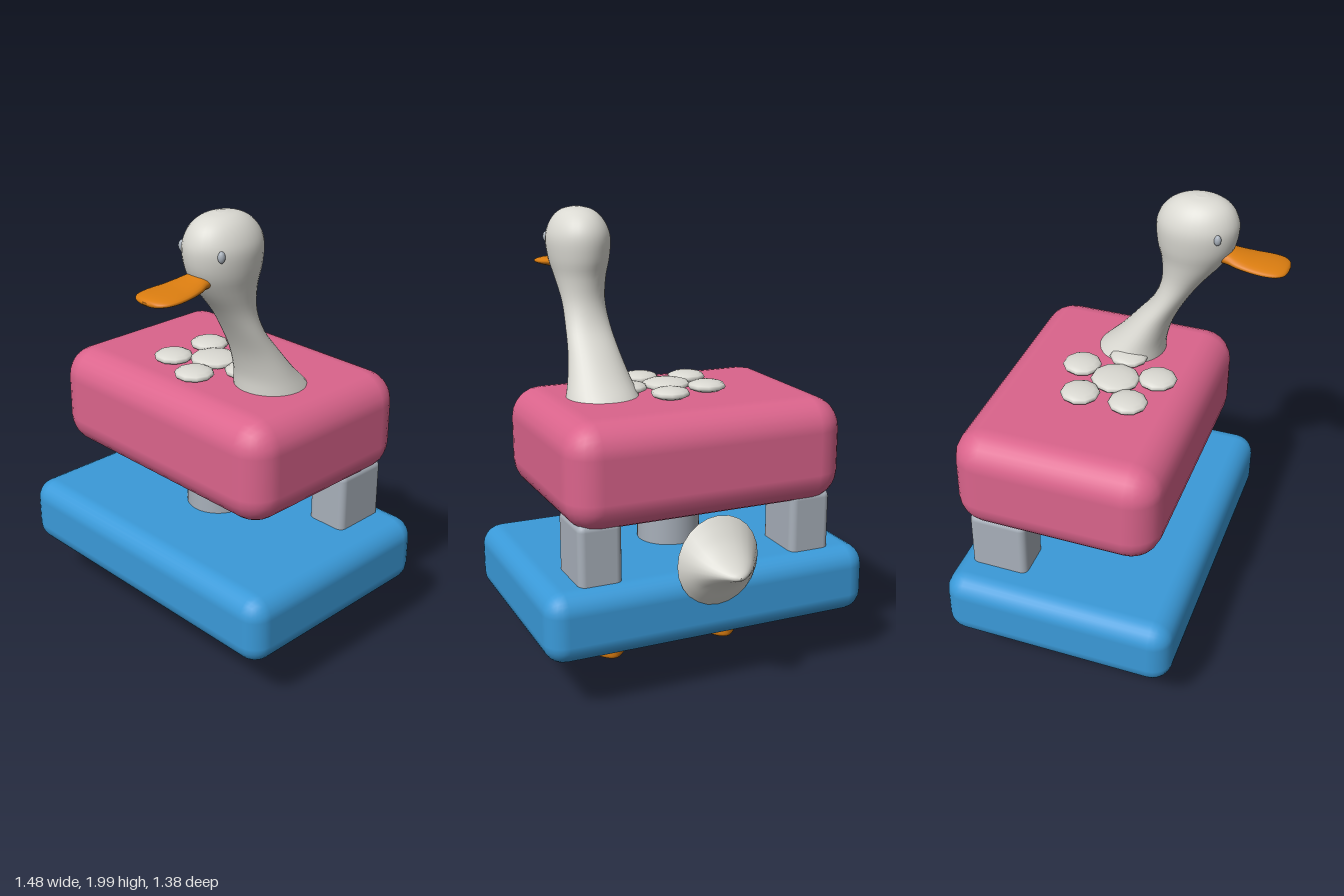
import * as THREE from 'three';
import { RoundedBoxGeometry } from 'three/addons/geometries/RoundedBoxGeometry.js';

const paint = (name, color) => {
  const m = new THREE.MeshStandardMaterial({ color });
  m.name = name;
  return m;
};

// Smooth tube of oval rings going up y; rows are [y, zMin, zMax, halfWidth, frontFlare].
function loft(rows, segs = 28, steps = 4) {
  const a = new THREE.CatmullRomCurve3(rows.map(r => new THREE.Vector3(r[0], r[1], r[2])), false, 'catmullrom', 0.5);
  const b = new THREE.CatmullRomCurve3(rows.map(r => new THREE.Vector3(r[3], r[4] || 0, 0)), false, 'catmullrom', 0.5);
  const n = (rows.length - 1) * steps;
  const pos = [], idx = [];
  for (let i = 0; i <= n; i++) {
    const p = a.getPoint(i / n), q = b.getPoint(i / n);
    for (let j = 0; j < segs; j++) {
      const t = (j / segs) * Math.PI * 2;
      const s = Math.sin(t);
      pos.push(q.x * Math.cos(t) * (1 + q.y * s), p.x, (p.y + p.z) / 2 + ((p.z - p.y) / 2) * s);
    }
  }
  for (let i = 0; i < n; i++) {
    for (let j = 0; j < segs; j++) {
      const k = (j + 1) % segs;
      const p = i * segs + j, q = i * segs + k;
      idx.push(p, p + segs, q, q, p + segs, q + segs);
    }
  }
  // End caps with their own vertices, so the rims stay sharp
  for (const row of [0, n]) {
    const start = pos.length / 3;
    const r = rows[row ? rows.length - 1 : 0];
    for (let j = 0; j < segs; j++) {
      const o = (row * segs + j) * 3;
      pos.push(pos[o], pos[o + 1], pos[o + 2]);
    }
    pos.push(0, r[0], (r[1] + r[2]) / 2);
    for (let j = 0; j < segs; j++) {
      const k = (j + 1) % segs;
      if (row) idx.push(start + segs, start + k, start + j);
      else idx.push(start + segs, start + j, start + k);
    }
  }
  const g = new THREE.BufferGeometry();
  g.setAttribute('position', new THREE.Float32BufferAttribute(pos, 3));
  g.setIndex(idx);
  g.computeVertexNormals();
  return g;
}

export function createModel() {
  const model = new THREE.Group();
  model.name = 'gooseBlocks';
  const blue = paint('blue', 0x3a9ad9);
  const pink = paint('pink', 0xdb648c);
  const white = paint('offWhite', 0xdad9d2);
  const grey = paint('blueGrey', 0xa8b0ba);
  const orange = paint('orange', 0xdb7d10);

  const add = (name, geometry, material, x = 0, y = 0, z = 0) => {
    const mesh = new THREE.Mesh(geometry, material);
    mesh.name = name;
    mesh.position.set(x, y, z);
    model.add(mesh);
    return mesh;
  };

  // Two stacked soft slabs
  add('lowerSlab', new RoundedBoxGeometry(1.48, 0.305, 1.02, 3, 0.09), blue, 0, 0.397, 0.03);
  add('upperSlab', new RoundedBoxGeometry(1.25, 0.455, 0.895, 3, 0.135), pink, 0, 0.997, -0.018);

  // Supports between the slabs
  for (const s of [-1, 1]) {
    add(s > 0 ? 'leftPillar' : 'rightPillar', new RoundedBoxGeometry(0.19, 0.34, 0.255, 3, 0.03), grey, s * 0.485, 0.64, -0.275);
  }
  add('roundPillar', new THREE.CylinderGeometry(0.14, 0.14, 0.34, 32), grey, 0, 0.66, 0.03);

  // Neck and head in one sweep
  add('neckAndHead', loft([
    [1.16, -0.17, 0.175, 0.172], [1.225, -0.12, 0.175, 0.156], [1.3, -0.045, 0.18, 0.135],
    [1.4, 0.04, 0.21, 0.113], [1.5, 0.118, 0.26, 0.1], [1.6, 0.153, 0.325, 0.095],
    [1.7, 0.15, 0.405, 0.11], [1.78, 0.13, 0.453, 0.129], [1.86, 0.122, 0.47, 0.137],
    [1.915, 0.135, 0.461, 0.125], [1.96, 0.17, 0.433, 0.098], [1.988, 0.22, 0.387, 0.062],
    [1.999, 0.28, 0.33, 0.02],
  ], 32), white, 0.307);

  // Bill: built upright, then turned to point forwards
  const bill = loft([
    [0.36, -1.785, -1.72, 0.05], [0.43, -1.785, -1.722, 0.062], [0.48, -1.773, -1.717, 0.078],
    [0.54, -1.762, -1.715, 0.09], [0.6, -1.757, -1.714, 0.096], [0.65, -1.752, -1.715, 0.088],
    [0.68, -1.745, -1.718, 0.06], [0.69, -1.735, -1.727, 0.02],
  ], 24);
  bill.rotateX(Math.PI / 2);
  add('bill', bill, orange, 0.307);

  // Eyes
  for (const s of [-1, 1]) {
    const eye = add(s > 0 ? 'leftEye' : 'rightEye', new THREE.SphereGeometry(1, 16, 12), grey, 0.307 + s * 0.107, 1.865, 0.408);
    eye.scale.set(0.014, 0.023, 0.015);
  }

  // Flower of flattened domes on the upper slab
  const dome = (name, r, x, z) => {
    const mesh = add(name, new THREE.SphereGeometry(r, 10, 8), white, x, 1.243, z);
    mesh.scale.y = 0.026 / r;
  };
  dome('flowerCentre', 0.107, 0, 0.05);
  for (let i = 0; i < 5; i++) {
    const t = (i / 5) * Math.PI * 2;
    dome('petal', 0.085, 0.18 * Math.cos(t), 0.05 + 0.18 * Math.sin(t));
  }

  // Tail: flared cone pointing backwards
  const tail = loft([
    [0.478, 0.408, 0.802, 0.185], [0.51, 0.448, 0.756, 0.164], [0.55, 0.5, 0.705, 0.136],
    [0.6, 0.545, 0.66, 0.1], [0.65, 0.575, 0.628, 0.056], [0.675, 0.585, 0.615, 0.028],
    [0.686, 0.597, 0.603, 0.005],
  ], 24);
  tail.rotateX(-Math.PI / 2);
  add('tail', tail, white);

  // Webbed feet with short legs
  const foot = loft([
    [0.008, -0.015, 0.215, 0.085, 0.3], [0.018, -0.02, 0.228, 0.1, 0.3], [0.035, -0.021, 0.235, 0.107, 0.3],
    [0.055, -0.021, 0.21, 0.1, 0.3], [0.085, -0.02, 0.135, 0.077, 0.2], [0.12, -0.018, 0.085, 0.053, 0.1],
    [0.165, -0.016, 0.05, 0.036], [0.22, -0.015, 0.046, 0.033], [0.3, -0.015, 0.046, 0.033],
  ], 24);
  for (const s of [-1, 1]) add(s > 0 ? 'leftFoot' : 'rightFoot', foot, orange, s * 0.282, 0, 0);

  return model;
}
